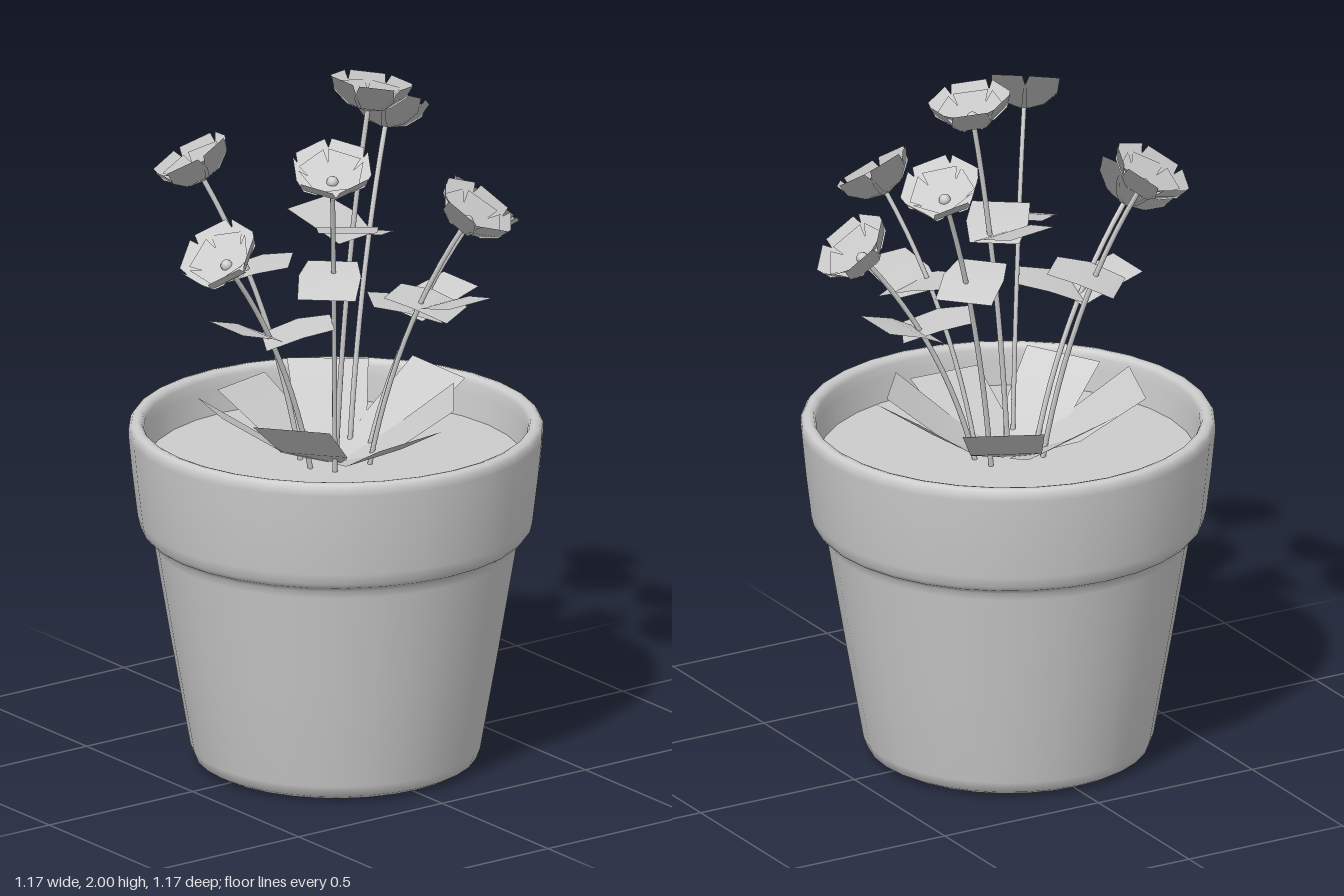
import * as THREE from 'three';

const grey = new THREE.MeshStandardMaterial({ color: 0xcccccc });
grey.name = 'clay grey';
const greyThin = grey.clone();
greyThin.name = 'clay grey thin';
greyThin.side = THREE.DoubleSide;

const SOIL = 0.88;

function mesh(name, geometry, material = grey) {
  const m = new THREE.Mesh(geometry, material);
  m.name = name;
  return m;
}

// Open blade running along +x: each row is [distance, height, half width]
function blade(rows) {
  const p = [], index = [];
  rows.forEach(([x, y, w], i) => {
    p.push(x, y, w, x, y, -w);
    if (i) {
      const a = 2 * i - 2;
      index.push(a, a + 2, a + 1, a + 1, a + 2, a + 3);
    }
  });
  const g = new THREE.BufferGeometry();
  g.setAttribute('position', new THREE.Float32BufferAttribute(p, 3));
  g.setIndex(index);
  g.computeVertexNormals();
  return g;
}

// Petal with every normal along the flower axis, so a flower shades as one soft form
function softBlade(rows) {
  const g = blade(rows), n = g.attributes.normal;
  for (let i = 0; i < n.count; i++) n.setXYZ(i, 0, 1, 0);
  return g;
}

// Cup of ragged petals around a small round centre, opening along +y
function makeFlower() {
  const flower = new THREE.Group();
  flower.name = 'flower';
  const outer = softBlade([[0, -0.052, 0.012], [0.05, -0.038, 0.036], [0.086, -0.004, 0.056], [0.106, 0.036, 0.05]]);
  const inner = softBlade([[0, -0.03, 0.012], [0.045, -0.018, 0.036], [0.082, 0.016, 0.05]]);
  for (let i = 0; i < 6; i++) {
    const petal = mesh('outerPetal', outer, greyThin);
    petal.rotation.y = i * Math.PI / 3;
    flower.add(petal);
  }
  for (let i = 0; i < 5; i++) {
    const petal = mesh('innerPetal', inner, greyThin);
    petal.rotation.y = i * Math.PI * 0.4 + 0.4;
    flower.add(petal);
  }
  const centre = mesh('flowerCentre', new THREE.SphereGeometry(0.017, 12, 8));
  centre.position.y = -0.025;
  flower.add(centre);
  return flower;
}

export function createModel() {
  const model = new THREE.Group();
  model.name = 'pottedFlowers';

  // Tapered pot with a thick collar and rounded lip
  const profile = [
    [0, 0], [0.32, 0], [0.375, 0.005], [0.397, 0.018], [0.409, 0.05], [0.46, 0.34], [0.51, 0.64],
    [0.514, 0.662], [0.525, 0.673], [0.538, 0.68], [0.55, 0.695], [0.557, 0.725], [0.572, 0.85], [0.583, 0.965],
    [0.582, 0.985], [0.574, 0.997], [0.56, 1], [0.547, 0.996], [0.54, 0.982], [0.537, 0.95], [0.526, 0.84],
  ].map(([x, y]) => new THREE.Vector2(x, y));
  model.add(mesh('pot', new THREE.LatheGeometry(profile, 32)));

  // Soil surface
  const soil = mesh('soil', new THREE.CircleGeometry(0.53, 32));
  soil.rotation.x = -Math.PI / 2;
  soil.position.y = SOIL;
  model.add(soil);

  // Broad leaves fanning up from the soil: [direction x, direction z, tip height, reach]
  const baseLeaves = [
    [-0.3, -0.1, 1.07, 0.37], [-0.1, -0.3, 1.05, 0.33], [0.17, -0.28, 1.07, 0.34], [0.33, -0.02, 1.08, 0.37],
    [0.24, 0.18, 1.07, 0.33], [0.02, 0.33, 1.02, 0.33], [-0.25, 0.16, 1.07, 0.33],
  ];
  for (const [x, z, tip, reach] of baseLeaves) {
    const rise = tip - SOIL;
    const leaf = mesh('baseLeaf', blade([[0.03, 0.005, 0.03], [reach * 0.5, rise * 0.35, 0.1], [reach, rise, 0.115]]), greyThin);
    leaf.position.y = SOIL;
    leaf.rotation.set(0.04, Math.atan2(-z, x), 0, 'YXZ');
    model.add(leaf);
  }

  // Stems that bend outwards, each ending in a flower facing along its stem
  const flowers = [
    [0.12, 1.943, 0], [0.33, 1.8, -0.2], [-0.22, 1.84, 0.28], [-0.3, 1.745, -0.26],
    [-0.44, 1.575, 0.06], [0.45, 1.555, 0.07], [0.23, 1.65, 0.33],
  ];
  const up = new THREE.Vector3(0, 1, 0);
  flowers.forEach(([x, y, z], i) => {
    const head = new THREE.Vector3(x, y, z);
    const r = i ? 0.1 / Math.hypot(x, z) : 0;
    const foot = new THREE.Vector3(x * r, SOIL, z * r);
    const knee = new THREE.Vector3().lerpVectors(foot, head, 0.26);
    knee.y = SOIL + (y - SOIL) * 0.54;
    const axis = head.clone().sub(knee).normalize();
    const end = head.clone().addScaledVector(axis, -0.045);
    const curve = new THREE.QuadraticBezierCurve3(foot, knee, end);
    model.add(mesh('stem', new THREE.TubeGeometry(curve, 12, 0.0075, 6)));
    const flower = makeFlower();
    flower.position.copy(head);
    flower.quaternion.setFromUnitVectors(up, axis);
    flower.rotateY(i * 1.3);
    model.add(flower);
  });

  // Tilted leaves part way up the stems: [centre x, y, z, turn, tilt]
  const stemLeaves = [
    [0.01, 1.57, 0.04, -2.2, 0.22], [0.03, 1.57, -0.06, 1.75, 0.3],
    [0.19, 1.485, -0.13, 0.75, -0.3], [-0.17, 1.5, 0.2, -2.3, -0.3], [-0.16, 1.44, -0.16, 2.4, -0.3],
    [0.17, 1.365, 0.19, -1.0, -0.28], [0.19, 1.375, 0.27, -1.5, 0.26],
    [-0.2, 1.325, 0.09, 2.6, -0.3], [-0.32, 1.33, 0.04, Math.PI, 0.33],
    [0.21, 1.305, 0.04, -0.5, -0.3], [0.32, 1.31, 0.03, 0, 0.33],
  ];
  const leafShape = blade([[-0.1, -0.006, 0.07], [-0.01, 0.006, 0.088], [0.1, 0, 0.082]]);
  for (const [x, y, z, turn, tilt] of stemLeaves) {
    const leaf = mesh('stemLeaf', leafShape, greyThin);
    leaf.position.set(x, y, z);
    leaf.rotation.set(0, turn, tilt, 'YXZ');
    model.add(leaf);
  }
  return model;
}
